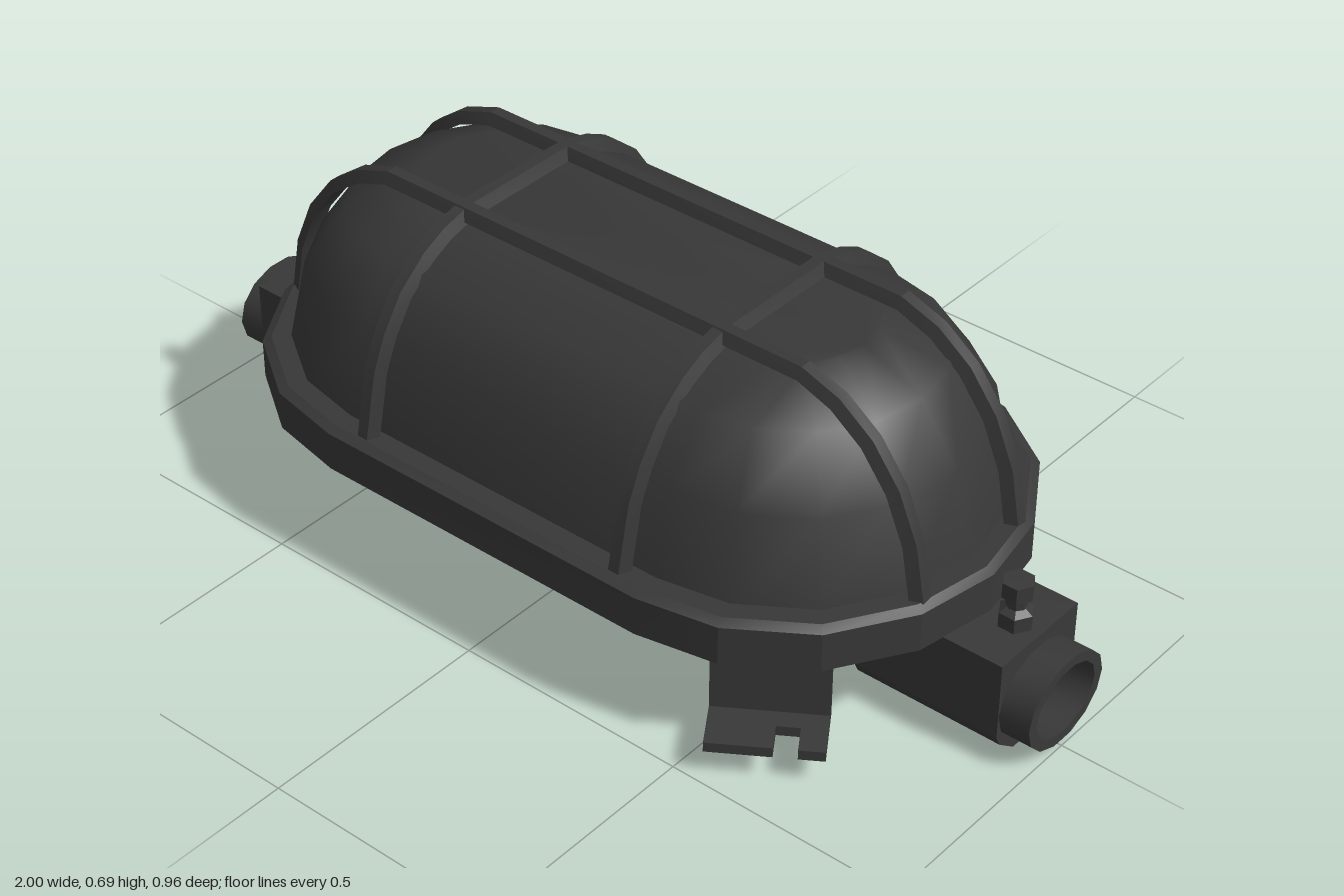
import * as THREE from 'three';
import { toCreasedNormals } from 'three/addons/utils/BufferGeometryUtils.js';

const mat = new THREE.MeshStandardMaterial({ color: 0x383838 });

function part(name, geometry, parent, crease = 0.3) {
  const mesh = new THREE.Mesh(toCreasedNormals(geometry, crease), mat);
  mesh.name = name;
  parent.add(mesh);
  return mesh;
}

// Closed skin over a stack of rings with equal point counts, capped at both ends
function loft(rings) {
  const n = rings[0].length;
  const pos = rings.flat(2);
  const idx = [];
  for (let i = 0; i < rings.length - 1; i++) {
    for (let j = 0; j < n; j++) {
      const k = (j + 1) % n;
      const a = i * n + j, b = i * n + k, c = b + n, d = a + n;
      idx.push(a, d, b, b, d, c);
    }
  }
  const top = (rings.length - 1) * n;
  for (let j = 1; j < n - 1; j++) {
    idx.push(0, j, j + 1, top, top + j + 1, top + j);
  }
  const g = new THREE.BufferGeometry();
  g.setAttribute('position', new THREE.Float32BufferAttribute(pos, 3));
  g.setIndex(idx);
  return g;
}

// Long rounded outline with faceted ends, at height y with half sizes ex and ez
function outline(y, ex, ez, straight = 0.38) {
  const ring = [];
  const arc = [0, 0.37, 0.71, 0.93, 1];
  const across = [1, 0.93, 0.71, 0.37, 0];
  const quarter = arc.map((s, i) => [straight + (ex - straight) * across[i], s * ez]);
  for (const [x, z] of quarter) ring.push([x, y, z]);
  for (const [x, z] of [...quarter].reverse()) ring.push([-x, y, z]);
  for (const [x, z] of quarter.slice(1)) ring.push([-x, y, -z]);
  for (const [x, z] of quarter.slice(1).reverse()) ring.push([x, y, -z]);
  return ring;
}

// Arched guard bar with a tapered section; half profile runs from the foot to the crown
function guardBar(half) {
  const path = [...half, ...[...half].reverse().map(([x, y]) => [-x, y])];
  const section = [[-0.024, -0.023], [0, -0.012], [0, 0.012], [-0.024, 0.023]];
  return loft(path.map(([x, y], i) => {
    const p = path[Math.max(i - 1, 0)], q = path[Math.min(i + 1, path.length - 1)];
    const len = Math.hypot(q[0] - p[0], q[1] - p[1]);
    const nx = (q[1] - p[1]) / len, ny = -(q[0] - p[0]) / len;
    return section.map(([d, w]) => [x + nx * d, y + ny * d, w]);
  }));
}

function ellipse(Type, rx, ry, sides = 14) {
  const pts = [];
  for (let i = 0; i < sides; i++) {
    const a = (i / sides) * Math.PI * 2;
    pts.push(new THREE.Vector2(rx * Math.cos(a), 0.107 + ry * Math.sin(a)));
  }
  return new Type(pts);
}

function extrude(shape, depth) {
  return new THREE.ExtrudeGeometry(shape, { depth, bevelEnabled: false });
}

const poly = (pts) => new THREE.Shape(pts.map(([x, y]) => new THREE.Vector2(x, y)));

// Cable entry at the +x end: housing, hollow spout and clamp bolt
function cableEntry() {
  const g = new THREE.Group();
  g.name = 'cableEntry';
  const box = poly([[-0.06, 0], [0.06, 0], [0.105, 0.035], [0.118, 0.06],
    [0.118, 0.225], [-0.118, 0.225], [-0.118, 0.06], [-0.105, 0.035]]);
  const housing = part('entryHousing', extrude(box, 0.32), g);
  housing.rotation.y = Math.PI / 2;
  housing.position.x = 0.615;

  const tube = ellipse(THREE.Shape, 0.116, 0.094);
  tube.holes.push(ellipse(THREE.Path, 0.092, 0.073));
  const spout = part('entrySpout', extrude(tube, 0.066), g, 0.6);
  spout.rotation.y = Math.PI / 2;
  spout.position.x = 0.934;

  // [bottom radius, top radius, bottom y, top y, sides]
  const stack = [[0.035, 0.035, 0.22, 0.256, 6], [0.035, 0.02, 0.256, 0.266, 6],
    [0.02, 0.02, 0.266, 0.292, 8], [0.032, 0.032, 0.29, 0.323, 6]];
  for (const [rb, rt, y0, y1, sides] of stack) {
    const bolt = part('clampBolt', new THREE.CylinderGeometry(rt, rb, y1 - y0, sides), g);
    bolt.position.set(0.88, (y0 + y1) / 2, 0);
    bolt.rotation.y = Math.PI / 6;
  }
  return g;
}

// Angled mounting bracket: upright plate and slotted foot; local x is along the plate
function bracket() {
  const g = new THREE.Group();
  g.name = 'mountingBracket';
  const plate = part('bracketPlate', new THREE.BoxGeometry(0.22, 0.18, 0.03), g);
  plate.position.set(0, 0.145, -0.015);
  const foot = poly([[-0.11, -0.03], [0.11, -0.03], [0.11, 0.1], [0.06, 0.1],
    [0.06, 0.04], [0.015, 0.04], [0.015, 0.1], [-0.11, 0.1]]);
  const geo = extrude(foot, 0.021);
  geo.rotateX(Math.PI / 2);
  part('bracketFoot', geo, g).position.y = 0.075;
  g.position.set(0.59, 0, 0.337);
  g.rotation.y = 0.58;
  return g;
}

export function createModel() {
  const model = new THREE.Group();
  model.name = 'bulkheadLamp';

  // Tapered base tray and rim
  part('baseTray', loft([
    outline(0.054, 0.62, 0.22, 0.42), outline(0.23, 0.71, 0.308, 0.42)]), model);
  part('rim', loft([
    outline(0.224, 0.827, 0.467), outline(0.306, 0.827, 0.467),
    outline(0.316, 0.81, 0.448)]), model);

  // Domed cover: [height, half length, half width]
  const dome = [[0.31, 0.775, 0.408], [0.49, 0.735, 0.373], [0.613, 0.65, 0.287],
    [0.667, 0.52, 0.16]];
  part('cover', loft(dome.map(([y, ex, ez]) => outline(y, ex, ez))), model, 0.65);

  // Wire guard: two long bars and two cross bars
  const long = [[0.787, 0.31], [0.765, 0.43], [0.722, 0.53], [0.66, 0.61],
    [0.585, 0.665], [0.5, 0.695]];
  const cross = [[0.446, 0.31], [0.416, 0.455], [0.385, 0.525], [0.337, 0.595],
    [0.27, 0.65], [0.215, 0.677], [0.145, 0.695]];
  for (const s of [-1, 1]) {
    part('longGuardBar', guardBar(long), model).position.z = s * 0.145;
    const bar = part('crossGuardBar', guardBar(cross), model);
    bar.rotation.y = Math.PI / 2;
    bar.position.x = s * 0.312;
  }

  // Cable entries and brackets repeat at half a turn
  for (const turn of [0, Math.PI]) {
    const side = new THREE.Group();
    side.name = turn ? 'rightEnd' : 'leftEnd';
    side.add(cableEntry(), bracket());
    side.rotation.y = turn;
    model.add(side);
  }
  return model;
}
